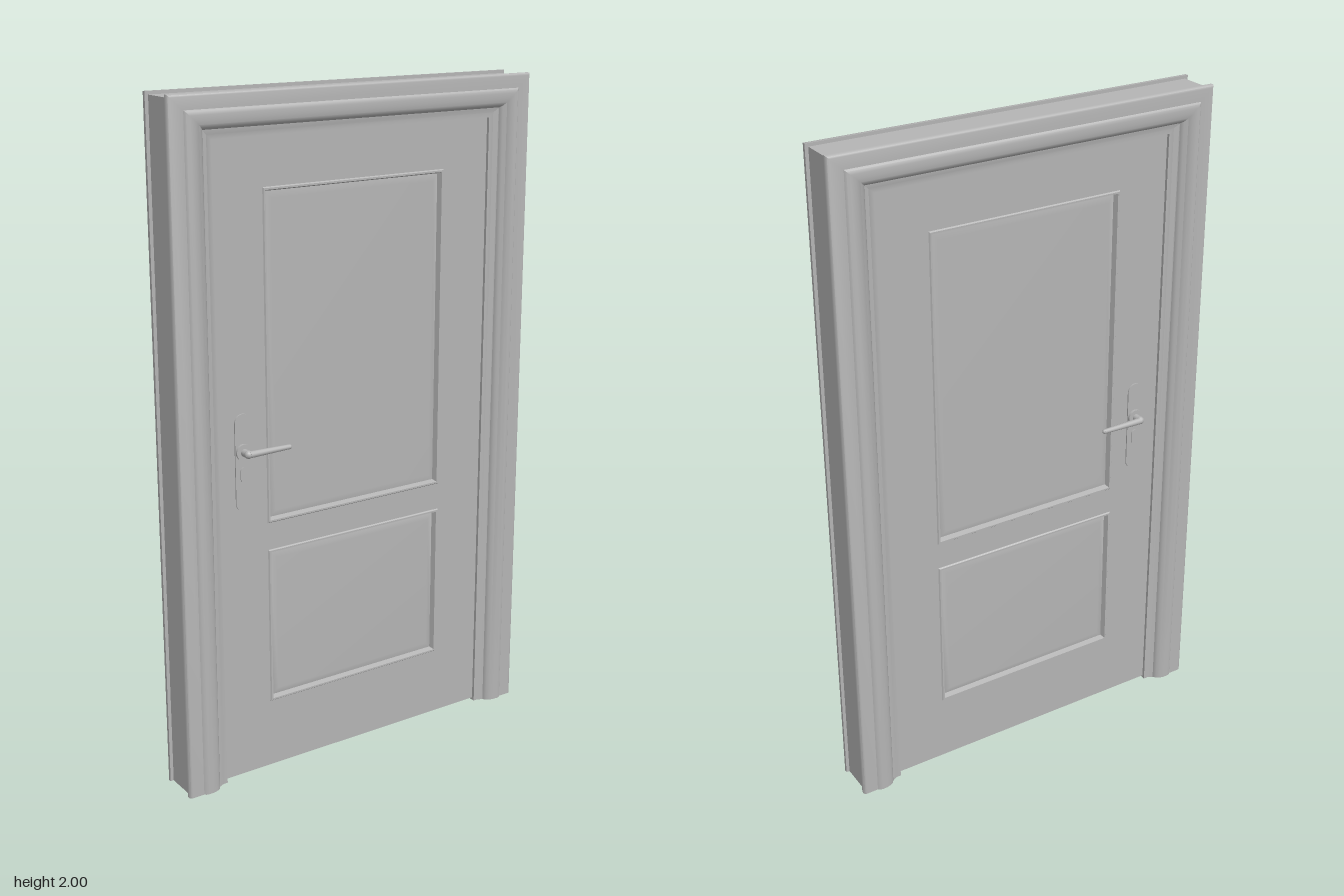
import * as THREE from 'three';
import { toCreasedNormals } from 'three/addons/utils/BufferGeometryUtils.js';

const W = 0.597, H = 2, FACE = 0.04;
const V = (x, y) => new THREE.Vector2(x, y);

function indexed(pos, idx) {
  const g = new THREE.BufferGeometry();
  g.setAttribute('position', new THREE.Float32BufferAttribute(pos, 3));
  g.setIndex(idx);
  g.computeVertexNormals();
  return g;
}

// Sweeps a closed (inset, z) profile up one post, across the head and down the other post
function frameSweep(points) {
  const prof = points.map(([d, z]) => V(d, z));
  if (THREE.ShapeUtils.isClockWise(prof)) prof.reverse();
  const n = prof.length, pos = [], idx = [];
  for (const [sx, top] of [[-1, 0], [-1, 1], [1, 1], [1, 0]])
    for (const p of prof) pos.push(sx * (W - p.x), top ? H - 0.91 * p.x : 0, p.y);
  for (let s = 0; s < 3; s++)
    for (let i = 0; i < n; i++) {
      const a = s * n + i, b = s * n + (i + 1) % n;
      idx.push(a, a + n, b + n, a, b + n, b);
    }
  for (const [a, b, c] of THREE.ShapeUtils.triangulateShape(prof, []))
    idx.push(a, b, c, 3 * n + a, 3 * n + c, 3 * n + b);
  return toCreasedNormals(indexed(pos, idx), 0.7);
}

// Concentric rectangles (inset, z) joined into a surface facing +z
function rectRings(w, h, rings, fill) {
  const pos = [], idx = [];
  for (const [d, z] of rings) {
    const x = w / 2 - d, y = h / 2 - d;
    pos.push(-x, -y, z, x, -y, z, x, y, z, -x, y, z);
  }
  for (let r = 0; r < rings.length - 1; r++)
    for (let i = 0; i < 4; i++) {
      const a = r * 4 + i, b = r * 4 + (i + 1) % 4;
      idx.push(a, b, b + 4, a, b + 4, a + 4);
    }
  const l = (rings.length - 1) * 4;
  if (fill) idx.push(l, l + 1, l + 2, l, l + 2, l + 3);
  return indexed(pos, idx);
}

// Upright stadium shape, centred on the origin
function stadium(w, h) {
  const r = w / 2, s = new THREE.Shape();
  s.absarc(0, h / 2 - r, r, 0, Math.PI);
  s.absarc(0, r - h / 2, r, Math.PI, Math.PI * 2);
  s.closePath();
  return s;
}

export function createModel() {
  const root = new THREE.Group();
  const grey = new THREE.MeshStandardMaterial({ color: 0xb4b4b4 });
  grey.name = 'grey paint';
  const add = (parent, name, geo, x = 0, y = 0, z = 0) => {
    const m = new THREE.Mesh(geo, grey);
    m.name = name;
    m.position.set(x, y, z);
    parent.add(m);
    return m;
  };

  // Jamb lining with a small stepped reveal
  add(root, 'jamb', frameSweep([
    [0.01, -0.056], [0.107, -0.056], [0.12, -0.049], [0.135, -0.049],
    [0.135, 0.049], [0.12, 0.049], [0.107, 0.056], [0.01, 0.056]]));

  // Moulded casing on both sides
  const casing = [
    [0, 0.053], [0, 0.063], [0.003, 0.067], [0.008, 0.069], [0.045, 0.069],
    [0.05, 0.074], [0.06, 0.076], [0.075, 0.0755], [0.088, 0.072],
    [0.098, 0.066], [0.104, 0.058], [0.105, 0.053]];
  add(root, 'frontCasing', frameSweep(casing));
  add(root, 'backCasing', frameSweep(casing.map(([d, z]) => [d, -z])));

  // Door leaf with two panel openings
  const panels = [
    { name: 'upperPanel', y: 1.26, w: 0.61, h: 0.96 },
    { name: 'lowerPanel', y: 0.458, w: 0.61, h: 0.48 }];
  const rect = (S, w, y0, y1) => new S([V(-w, y0), V(w, y0), V(w, y1), V(-w, y1)]);
  const leaf = rect(THREE.Shape, 0.463, 0.008, 1.88);
  for (const p of panels)
    leaf.holes.push(rect(THREE.Path, p.w / 2, p.y - p.h / 2, p.y + p.h / 2));
  add(root, 'doorLeaf', new THREE.ExtrudeGeometry(leaf, { depth: 2 * FACE, bevelEnabled: false }), 0, 0, -FACE);

  // Panel mouldings and softly raised fields, front and back
  for (const side of [1, -1])
    for (const p of panels) {
      const g = new THREE.Group();
      g.name = (side > 0 ? 'front' : 'back') + p.name[0].toUpperCase() + p.name.slice(1);
      g.position.y = p.y;
      g.rotation.y = side > 0 ? 0 : Math.PI;
      root.add(g);
      add(g, 'moulding', toCreasedNormals(rectRings(p.w, p.h,
        [[0, FACE], [0.003, 0.044], [0.008, 0.044], [0.013, 0.028]]), 0.4));
      add(g, 'field', rectRings(p.w, p.h, [[0.013, 0.028], [0.032, 0.034]], true));
    }

  // Lever handle set on each face
  for (const side of [1, -1]) {
    const g = new THREE.Group();
    g.name = side > 0 ? 'frontHandle' : 'backHandle';
    g.position.x = -0.383;
    root.add(g);
    const plate = (name, w, h, y, t) => add(g, name,
      new THREE.ExtrudeGeometry(stadium(w, h), { depth: t, bevelEnabled: false, curveSegments: 10 }),
      0, y, side > 0 ? FACE : -FACE - t);
    plate('backPlate', 0.05, 0.285, 0.978, 0.004);
    plate('keyhole', 0.02, 0.044, 0.943, 0.007);
    const round = (name, r, len, z) => {
      add(g, name, new THREE.CylinderGeometry(r, r, len, 20), 0, 1.01, side * z).rotation.x = Math.PI / 2;
    };
    round('rose', 0.024, 0.01, 0.046);
    round('neck', 0.011, 0.036, 0.06);
    add(g, 'neckCap', new THREE.SphereGeometry(0.012, 16, 10), 0, 1.01, side * 0.073);
    // Lever tapers slightly towards its tip
    const lever = add(g, 'lever', new THREE.CylinderGeometry(0.007, 0.01, 0.13, 14), 0.067, 1.01, side * 0.076);
    lever.rotation.z = -Math.PI / 2;
    add(g, 'leverTip', new THREE.SphereGeometry(0.007, 14, 8), 0.132, 1.01, side * 0.076);
  }
  return root;
}
